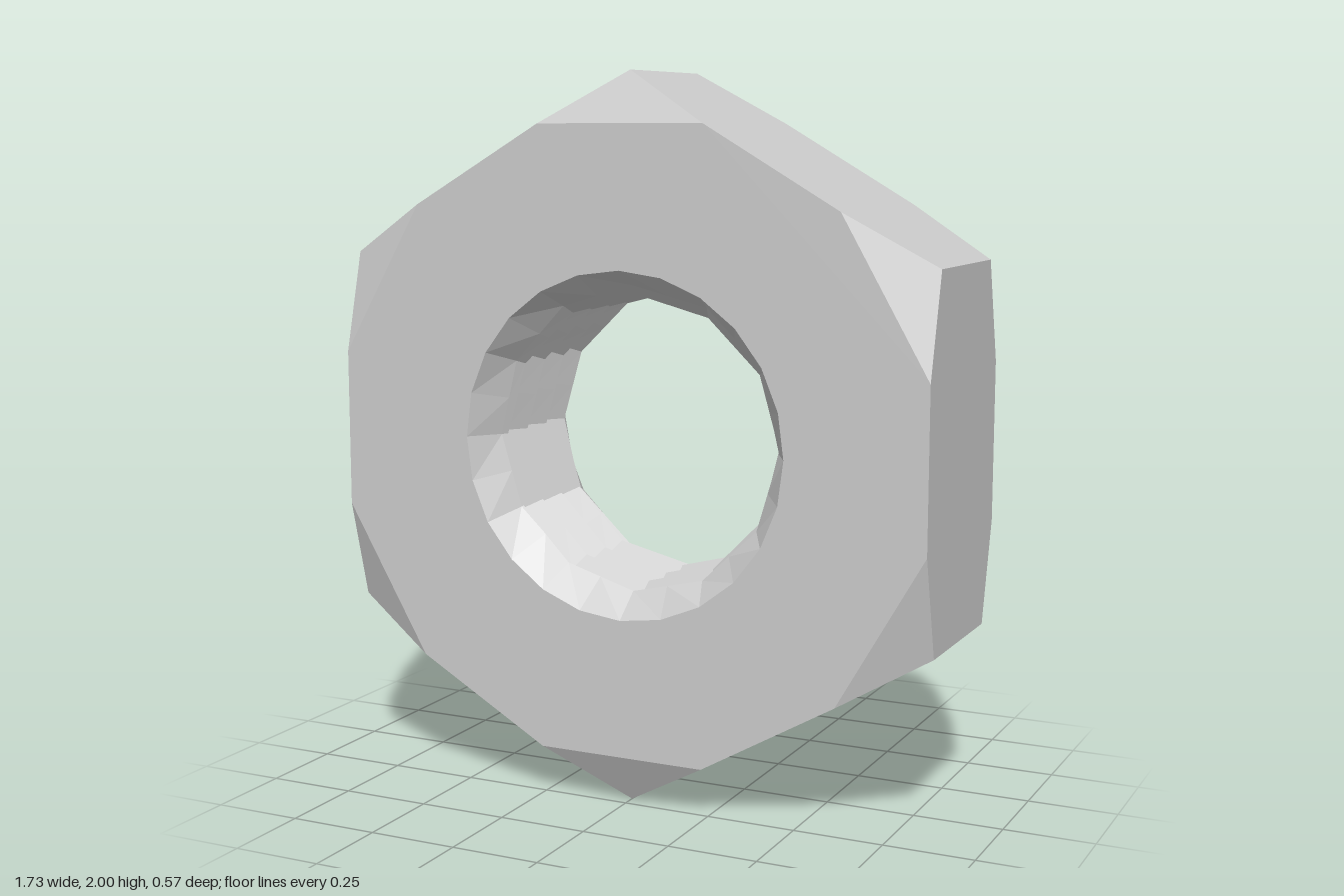
import * as THREE from 'three';

const HALF = 0.283;      // half thickness
const EDGE = 0.21;       // z where the corner chamfers start
const CUT = 0.28;        // chamfer length along each hexagon side
const RIM = 0.475;       // hole radius at the faces
const CREST = 0.4;       // thread crest radius
const DEPTH = 0.04;      // thread depth
const PITCH = 0.11;
const BORE = 0.2;        // half length of the threaded part
const SEGMENTS = 24;

const at = (p, z) => new THREE.Vector3(p.x, p.y, z);
const polar = (r, a) => new THREE.Vector2(r * Math.cos(a), r * Math.sin(a));

// Flat-shaded geometry from convex polygons, each fanned into triangles
function fromPolygons(polygons) {
  const points = [];
  for (const poly of polygons) {
    for (let i = 1; i < poly.length - 1; i++) {
      const tri = new THREE.Triangle(poly[0], poly[i], poly[i + 1]);
      if (tri.getArea() > 1e-7) points.push(tri.a, tri.b, tri.c);
    }
  }
  const geometry = new THREE.BufferGeometry().setFromPoints(points);
  geometry.computeVertexNormals();
  return geometry;
}

export function createModel() {
  const group = new THREE.Group();
  group.name = 'hexNut';
  const material = new THREE.MeshStandardMaterial({ color: 0xcccccc, flatShading: true });
  const add = (name, geometry) => {
    const mesh = new THREE.Mesh(geometry, material);
    mesh.name = name;
    mesh.position.y = 1;
    group.add(mesh);
    return mesh;
  };

  // Hexagon corners, and the chamfer ends just before and after each corner
  const corners = [], before = [], after = [];
  const corner = (k) => polar(1, Math.PI / 6 + k * Math.PI / 3);
  for (let k = 0; k < 6; k++) {
    corners.push(corner(k));
    before.push(corner(k).lerp(corner(k - 1), CUT));
    after.push(corner(k).lerp(corner(k + 1), CUT));
  }

  // Six wrench flats and twelve corner chamfers
  const flats = [], chamfers = [];
  for (let k = 0; k < 6; k++) {
    const n = (k + 1) % 6;
    const a = corners[k], p = after[k], q = before[n], b = corners[n];
    flats.push([at(a, -EDGE), at(p, -HALF), at(q, -HALF), at(b, -EDGE),
      at(b, EDGE), at(q, HALF), at(p, HALF), at(a, EDGE)]);
    chamfers.push([at(a, EDGE), at(p, HALF), at(before[k], HALF)]);
    chamfers.push([at(a, -EDGE), at(before[k], -HALF), at(p, -HALF)]);
  }
  add('wrenchFlats', fromPolygons(flats));
  add('cornerChamfers', fromPolygons(chamfers));

  // Flat front and back faces with the round opening
  const outline = new THREE.Shape(corners.flatMap((c, k) => [before[k], after[k]]));
  const rim = Array.from({ length: SEGMENTS }, (_, i) => polar(RIM, i / SEGMENTS * Math.PI * 2));
  outline.holes.push(new THREE.Path(rim));
  const face = new THREE.ShapeGeometry(outline);
  add('frontFace', face).position.z = HALF;
  const back = add('backFace', face);
  back.rotation.y = Math.PI;
  back.position.z = -HALF;

  // Bore: countersink, helical thread clipped to the bore length, countersink
  const rows = Math.ceil(4 * BORE / PITCH) + 4;
  const borePoint = (i, j) => {
    const t = i / SEGMENTS, angle = t * Math.PI * 2;
    if (j === 0 || j === rows) return at(polar(RIM, angle), j ? HALF : -HALF);
    const raw = -BORE + PITCH * ((j - 3) / 2 + t);
    const z = j === 1 ? -BORE : j === rows - 1 ? BORE : THREE.MathUtils.clamp(raw, -BORE, BORE);
    const phase = (z + BORE) / PITCH - t;
    const wave = 2 * Math.abs(phase - Math.round(phase));
    // odd points sit on the sides of a twelve-sided bore
    const side = i % 2 ? Math.cos(Math.PI / 12) : 1;
    return at(polar((CREST + DEPTH * wave) * side, angle), z);
  };
  const bore = [];
  for (let i = 0; i < SEGMENTS; i++) {
    for (let j = 0; j < rows; j++) {
      const a = borePoint(i, j), b = borePoint(i, j + 1);
      const c = borePoint(i + 1, j + 1), d = borePoint(i + 1, j);
      bore.push([a, b, c], [a, c, d]);
    }
  }
  add('threadedBore', fromPolygons(bore));
  return group;
}
